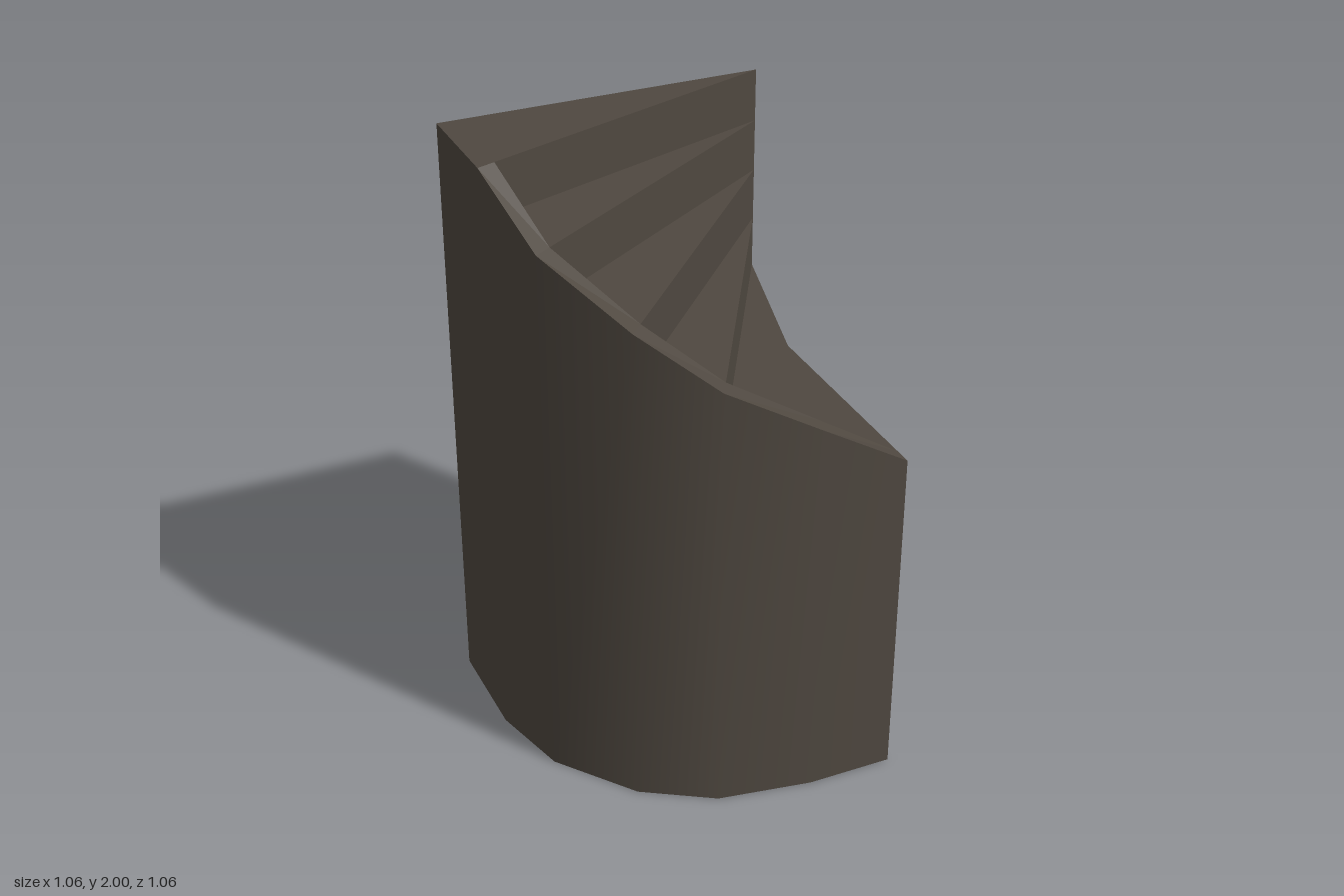
import * as THREE from 'three';

const stone = new THREE.MeshStandardMaterial({ color: 0x4f4840, side: THREE.DoubleSide });
stone.name = 'dark stone';

// Central pivot of the winding stair, in plan (x, z)
const PIVOT = [0.532, -0.532];
// Outer wall line in plan, from the top landing round to the bottom step
const OUTER = [[-0.532, -0.532], [-0.532, -0.172], [-0.463, 0.096], [-0.275, 0.345],
  [-0.055, 0.481], [0.25, 0.532], [0.532, 0.532]];
// Inner edge of the parapet: the same line drawn in towards the pivot
const INNER = OUTER.map(([x, z]) => [x, z].map((v, i) => PIVOT[i] + (v - PIVOT[i]) * 0.945));
// Height of the wall top at each corner, one rise per step
const HEIGHT = [2, 2, 1.828, 1.657, 1.486, 1.315, 1.144];
const SKIRT = 0.935;

const at = ([x, z], y) => [x, y, z];

// Flat polygons (3 or 4 corners, counter-clockwise from outside) as one mesh
function flatMesh(name, ...polygons) {
  const pos = [];
  for (const p of polygons) {
    for (let i = 1; i < p.length - 1; i++) pos.push(...p[0], ...p[i], ...p[i + 1]);
  }
  const geo = new THREE.BufferGeometry();
  geo.setAttribute('position', new THREE.Float32BufferAttribute(pos, 3));
  geo.computeVertexNormals();
  const mesh = new THREE.Mesh(geo, stone);
  mesh.name = name;
  return mesh;
}

// Curved outer wall: a single smooth sheet from the ground to the sloping top
function outerWall() {
  const pos = [], index = [];
  OUTER.forEach((p, i) => {
    pos.push(...at(p, 0), ...at(p, HEIGHT[i]));
    if (i > 0) {
      const a = 2 * (i - 1);
      index.push(a, a + 2, a + 3, a, a + 3, a + 1);
    }
  });
  const geo = new THREE.BufferGeometry();
  geo.setAttribute('position', new THREE.Float32BufferAttribute(pos, 3));
  geo.setIndex(index);
  geo.computeVertexNormals();
  const mesh = new THREE.Mesh(geo, stone);
  mesh.name = 'outerWall';
  return mesh;
}

export function createModel() {
  const model = new THREE.Group();
  model.name = 'windingStair';
  model.add(outerWall());

  // Top landing reaches the full width of the wall
  model.add(flatMesh('topLanding', [at(PIVOT, 2), at(OUTER[0], 2), at(OUTER[1], 2)]));

  for (let k = 1; k < OUTER.length - 1; k++) {
    const high = HEIGHT[k], low = HEIGHT[k + 1];
    const a = INNER[k], b = INNER[k + 1];
    // Wedge-shaped tread with the riser behind it
    model.add(flatMesh('tread' + k, [at(PIVOT, low), at(a, low), at(b, low)]));
    model.add(flatMesh('riser' + k,
      [at(a, low), at(PIVOT, low), at(PIVOT, high), at(a, high)]));
    // Sloping parapet top and its triangular inner face above the tread
    model.add(flatMesh('parapetTop' + k,
      [at(OUTER[k], high), at(OUTER[k + 1], low), at(b, low), at(a, high)]));
    model.add(flatMesh('parapetInnerFace' + k, [at(a, low), at(a, high), at(b, low)]));
  }

  // Lowest riser, a deeper skirt under the first step
  const end = OUTER[6];
  model.add(flatMesh('bottomRiser',
    [at(end, SKIRT), at(PIVOT, SKIRT), at(PIVOT, HEIGHT[6]), at(end, HEIGHT[6])]));
  return model;
}
